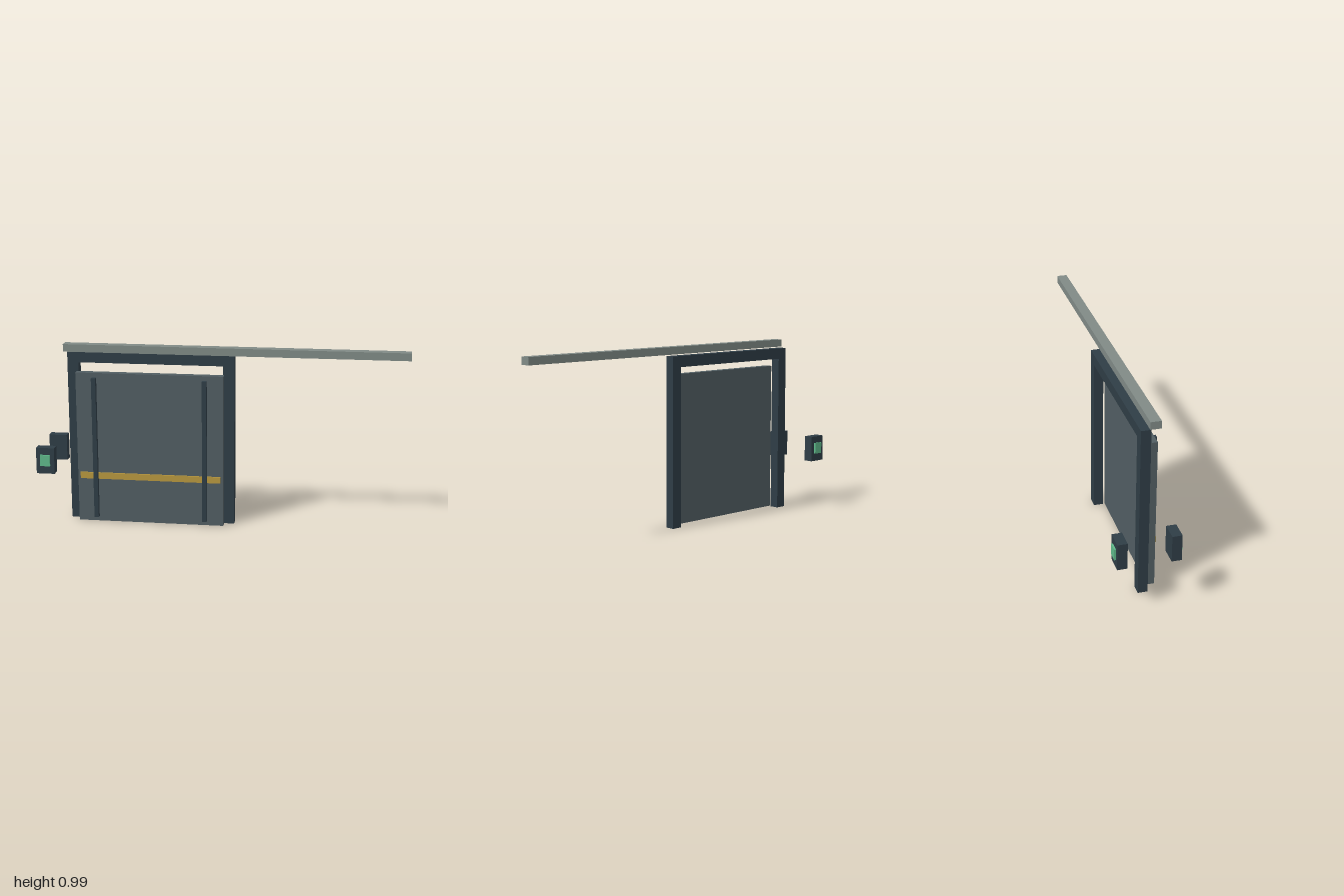
import * as THREE from 'three';

const paint = (color) => new THREE.MeshStandardMaterial({ color });
const dark = paint(0x2f3d46);
const panelGrey = paint(0x525e63);
const railGrey = paint(0x808a86);
const amber = paint(0xb8983f);
const green = paint(0x5fb98a);

// Box given by its min and max along each axis
function box(name, material, [x0, x1], [y0, y1], [z0, z1]) {
  const mesh = new THREE.Mesh(new THREE.BoxGeometry(x1 - x0, y1 - y0, z1 - z0), material);
  mesh.position.set((x0 + x1) / 2, (y0 + y1) / 2, (z0 + z1) / 2);
  mesh.name = name;
  return mesh;
}

// Doorway frame: two posts and a lintel in one outline, open at the floor
function doorFrame() {
  const outline = [
    [-0.84, 0], [-0.78, 0], [-0.78, 0.88], [0.01, 0.88],
    [0.01, 0], [0.07, 0], [0.07, 0.94], [-0.84, 0.94],
  ].map(([x, y]) => new THREE.Vector2(x, y));
  const geometry = new THREE.ExtrudeGeometry(new THREE.Shape(outline), { depth: 0.052, bevelEnabled: false });
  const mesh = new THREE.Mesh(geometry, dark);
  mesh.position.z = -0.007;
  mesh.name = 'doorFrame';
  return mesh;
}

// Sliding leaf with two upright ribs and a warning stripe
function slidingDoor() {
  const door = new THREE.Group();
  door.name = 'slidingDoor';
  door.add(box('doorPanel', panelGrey, [-0.785, 0.017], [0.002, 0.835], [0.055, 0.097]));
  for (const x of [-0.683, -0.083]) {
    door.add(box('doorRib', dark, [x - 0.012, x + 0.012], [0.028, 0.81], [0.096, 0.121]));
  }
  door.add(box('warningStripe', amber, [-0.77, 0.002], [0.245, 0.28], [0.096, 0.105]));
  return door;
}

// Control box with its lit button facing away from the doorway
function controlBox(side) {
  const control = new THREE.Group();
  control.name = side > 0 ? 'frontControl' : 'backControl';
  control.add(
    box('controlHousing', dark, [-1, -0.9], [0.281, 0.425], [-0.026, 0.026]),
    box('controlButton', green, [-0.977, -0.923], [0.325, 0.387], [0.025, 0.035]),
  );
  if (side < 0) {
    control.rotation.y = Math.PI;
    control.position.x = -1.9;
  }
  control.position.z = side * 0.138;
  return control;
}

export function createModel() {
  const model = new THREE.Group();
  model.name = 'slidingDoorway';
  model.add(
    doorFrame(),
    slidingDoor(),
    box('slideRail', railGrey, [-0.85, 1], [0.946, 0.987], [0.036, 0.092]),
    controlBox(1),
    controlBox(-1),
  );
  return model;
}
